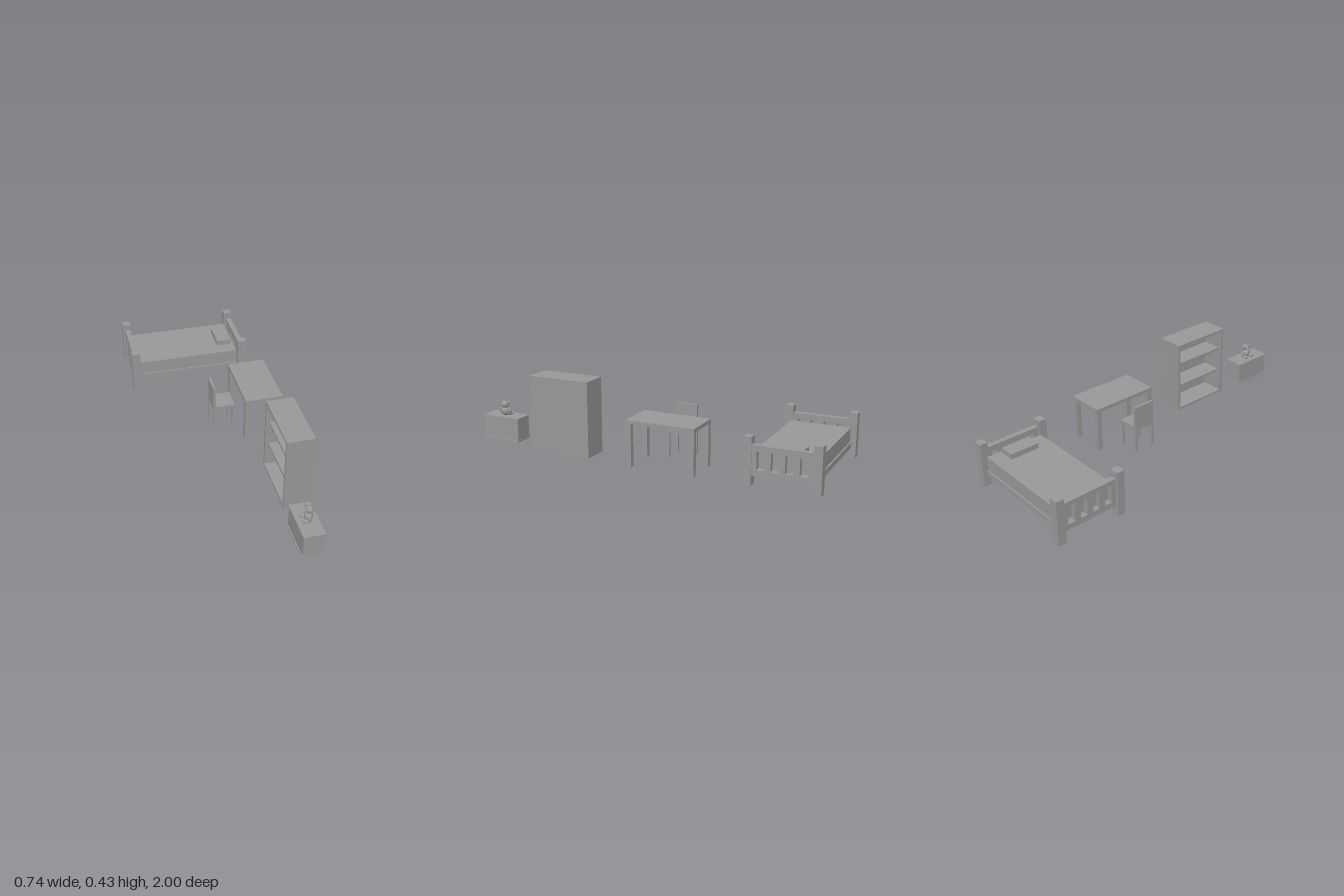
import * as THREE from 'three';

const material = new THREE.MeshStandardMaterial({ color: 0x999999 });

function part(parent, name, geometry) {
  const mesh = new THREE.Mesh(geometry, material);
  mesh.name = name;
  parent.add(mesh);
  return mesh;
}

// Box given by its minimum and maximum on each axis
function box(parent, name, [x0, x1], [y0, y1], [z0, z1]) {
  const mesh = part(parent, name, new THREE.BoxGeometry(x1 - x0, y1 - y0, z1 - z0));
  mesh.position.set((x0 + x1) / 2, (y0 + y1) / 2, (z0 + z1) / 2);
}

// Ellipsoid given by centre, radii and an optional lean about z
function blob(parent, name, centre, radii, lean = 0) {
  const mesh = part(parent, name, new THREE.SphereGeometry(1, 24, 16));
  mesh.position.set(...centre);
  mesh.scale.set(...radii);
  mesh.rotation.z = lean;
}

// Four legs set flush in the corners of a rectangle
function legs(parent, name, [x0, x1], y, [z0, z1], w, d = w) {
  for (const x of [x0, x1 - w])
    for (const z of [z0, z1 - d]) box(parent, name, [x, x + w], y, [z, z + d]);
}

function group(root, name) {
  const g = new THREE.Group();
  g.name = name;
  root.add(g);
  return g;
}

// End board of the bed, with four upright slots, facing along x
function endBoard(parent, name, x, thickness) {
  const shape = new THREE.Shape();
  shape.moveTo(-0.17, 0.054);
  shape.lineTo(0.17, 0.054);
  shape.lineTo(0.17, 0.212);
  shape.lineTo(-0.17, 0.212);
  shape.closePath();
  for (let i = 0; i < 4; i++) {
    const c = (i - 1.5) * 0.073;
    const slot = new THREE.Path();
    slot.moveTo(c - 0.02, 0.086);
    slot.lineTo(c - 0.02, 0.181);
    slot.lineTo(c + 0.02, 0.181);
    slot.lineTo(c + 0.02, 0.086);
    slot.closePath();
    shape.holes.push(slot);
  }
  const board = part(parent, name,
    new THREE.ExtrudeGeometry(shape, { depth: thickness, bevelEnabled: false }));
  board.rotation.y = Math.PI / 2;
  board.position.set(x, 0, -0.8);
}

function buildBed(root) {
  const bed = group(root, 'bed');
  legs(bed, 'bedPost', [-0.369, 0.333], [0, 0.251], [-1, -0.6], 0.05, 0.044);
  endBoard(bed, 'footboard', -0.355, 0.03);
  endBoard(bed, 'headboard', 0.298, 0.03);
  box(bed, 'bedBase', [-0.327, 0.289], [0.057, 0.088], [-0.975, -0.63]);
  box(bed, 'mattress', [-0.32, 0.284], [0.088, 0.168], [-0.967, -0.638]);
  box(bed, 'pillow', [0.181, 0.267], [0.168, 0.198], [-0.887, -0.721]);
}

function buildTable(root) {
  const table = group(root, 'table');
  box(table, 'tableTop', [0.157, 0.369], [0.242, 0.263], [-0.355, 0.03]);
  legs(table, 'tableLeg', [0.157, 0.369], [0.01, 0.242], [-0.355, 0.03], 0.027, 0.03);
}

function buildChair(root) {
  const chair = group(root, 'chair');
  box(chair, 'seat', [0.005, 0.128], [0.144, 0.164], [-0.217, -0.09]);
  box(chair, 'backrest', [0.005, 0.019], [0.164, 0.286], [-0.217, -0.09]);
  legs(chair, 'chairLeg', [0.005, 0.128], [0.011, 0.144], [-0.217, -0.09], 0.014);
}

// Bookcase, open towards -x
function buildBookcase(root) {
  const bookcase = group(root, 'bookcase');
  const x = [0.194, 0.342], y = [0.008, 0.428], z = [0.272, 0.632], t = 0.015;
  const inside = [z[0] + t, z[1] - t];
  box(bookcase, 'bookcaseSide', x, y, [z[0], inside[0]]);
  box(bookcase, 'bookcaseSide', x, y, [inside[1], z[1]]);
  box(bookcase, 'bookcaseBack', [x[1] - t, x[1]], y, inside);
  box(bookcase, 'bookcaseTop', [x[0], x[1] - t], [y[1] - t, y[1]], inside);
  box(bookcase, 'bookcaseBottom', [x[0], x[1] - t], [y[0], y[0] + t], inside);
  for (const h of [0.147, 0.288])
    box(bookcase, 'shelf', [x[0] + 0.019, x[1] - t], [h, h + 0.014], inside);
}

function buildChest(root) {
  const chest = group(root, 'toyChest');
  box(chest, 'chestLid', [0.172, 0.283], [0.138, 0.15], [0.765, 1]);
  box(chest, 'chestBody', [0.175, 0.281], [0.024, 0.138], [0.768, 0.997]);
  box(chest, 'chestBase', [0.169, 0.288], [0.014, 0.024], [0.766, 0.999]);
}

// Toy bear sitting on the chest, facing -x
function buildBear(root) {
  const bear = group(root, 'toyBear');
  const z = 0.882;
  blob(bear, 'bearBody', [0.234, 0.174, z], [0.022, 0.026, 0.022]);
  blob(bear, 'bearHead', [0.237, 0.213, z], [0.02, 0.02, 0.021]);
  blob(bear, 'bearMuzzle', [0.219, 0.208, z], [0.01, 0.009, 0.011]);
  blob(bear, 'bearNose', [0.21, 0.211, z], [0.003, 0.003, 0.004]);
  for (const s of [-1, 1]) {
    blob(bear, 'bearEar', [0.224, 0.225, z + s * 0.018], [0.006, 0.008, 0.008]);
    blob(bear, 'bearArm', [0.232, 0.176, z + s * 0.027], [0.009, 0.02, 0.01], -0.15);
    blob(bear, 'bearLeg', [0.222, 0.158, z + s * 0.021], [0.021, 0.008, 0.01]);
    blob(bear, 'bearFoot', [0.204, 0.16, z + s * 0.023], [0.006, 0.01, 0.01]);
  }
}

export function createModel() {
  const root = new THREE.Group();
  root.name = 'bedroomFurniture';
  buildBed(root);
  buildTable(root);
  buildChair(root);
  buildBookcase(root);
  buildChest(root);
  buildBear(root);
  return root;
}
